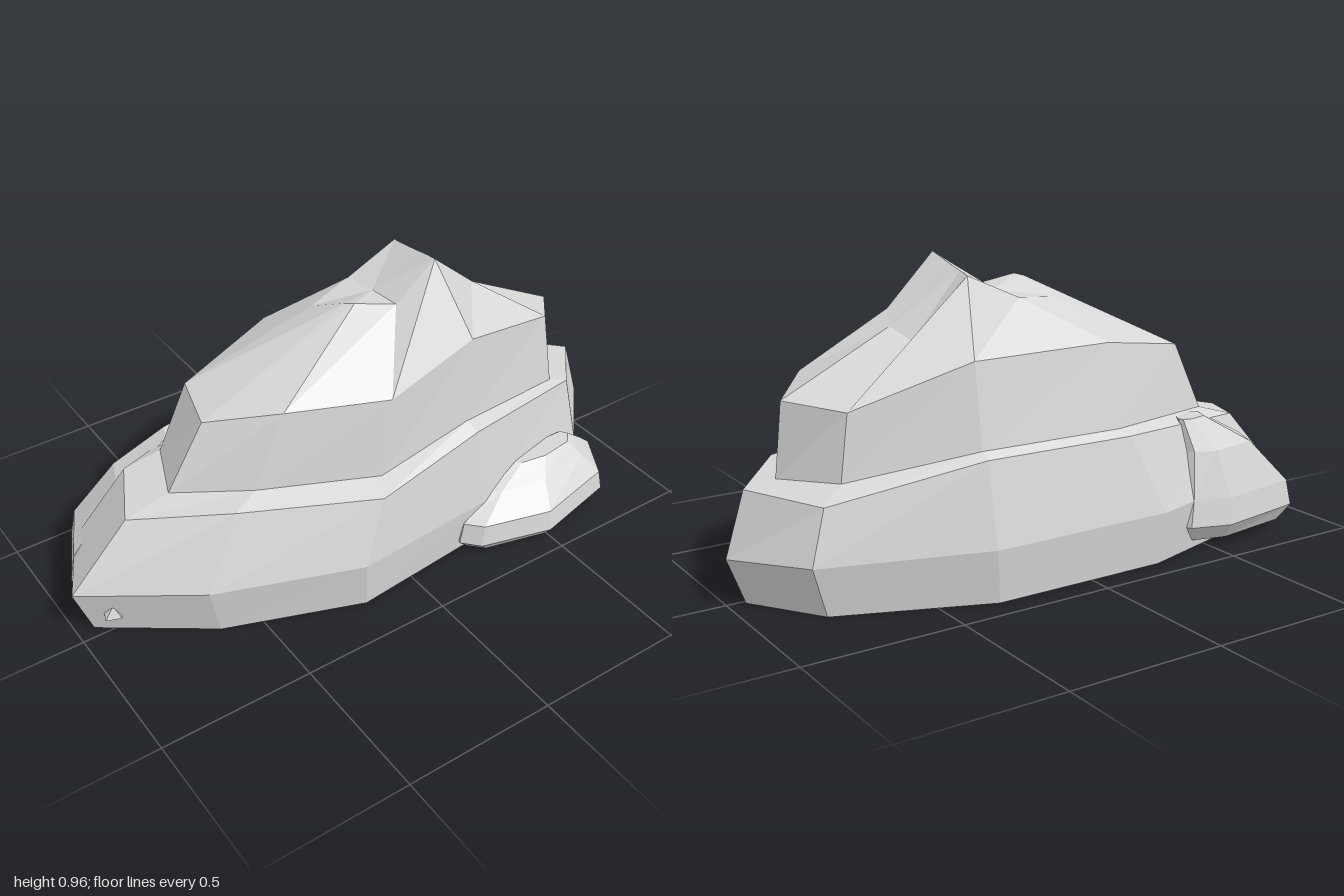
import * as THREE from 'three';

// Skins a stack of rings (each a list of [x, y, z]) and closes both ends with a fan.
function loft(rings, topPoint) {
  const n = rings[0].length;
  const pos = [];
  const tri = (a, b, c) => {
    if (a !== b && b !== c && c !== a) pos.push(...a, ...b, ...c);
  };
  for (let i = 0; i < rings.length - 1; i++) {
    const lo = rings[i], hi = rings[i + 1];
    for (let j = 0; j < n; j++) {
      const k = (j + 1) % n;
      tri(lo[j], hi[j], lo[k]);
      tri(lo[k], hi[j], hi[k]);
    }
  }
  const middle = (ring) => [0, 1, 2].map((a) => ring.reduce((s, p) => s + p[a], 0) / n);
  const first = rings[0], last = rings[rings.length - 1];
  const bottom = middle(first), top = topPoint || middle(last);
  for (let j = 0; j < n; j++) {
    const k = (j + 1) % n;
    tri(bottom, first[j], first[k]);
    tri(top, last[k], last[j]);
  }
  const g = new THREE.BufferGeometry();
  g.setAttribute('position', new THREE.Float32BufferAttribute(pos, 3));
  g.computeVertexNormals();
  return g;
}

// Makes rings from one [x, z] outline; each level is [y, scaleX, scaleZ, centreX, centreZ].
function levels(outline, cx, cz, list) {
  return list.map(([y, sx, sz, tx = cx, tz = cz]) =>
    outline.map(([x, z]) => [tx + (x - cx) * sx, y, tz + (z - cz) * sz]));
}

export function createModel() {
  const group = new THREE.Group();
  const stone = new THREE.MeshStandardMaterial({ color: 0xd6d6d6, flatShading: true });
  stone.name = 'grey stone';
  const add = (name, geometry) => {
    const mesh = new THREE.Mesh(geometry, stone);
    mesh.name = name;
    group.add(mesh);
    return mesh;
  };

  // Rings run from the left end round the front, the right end and the back.
  const waist = [
    [1, 0.145, -0.015], [0.8, 0.135, 0.21], [0.3, 0.16, 0.32], [-0.2, 0.17, 0.368], [-0.66, 0.17, 0.2],
    [-1, 0.16, -0.04], [-0.88, 0.17, -0.27], [-0.27, 0.17, -0.44], [0.35, 0.17, -0.44], [0.84, 0.155, -0.25],
  ];
  const foot = waist.map(([x, , z]) => [x * 0.945, 0, z * 0.955]);
  const shoulder = [
    [0.94, 0.345, -0.02], [0.77, 0.375, 0.17], [0.29, 0.425, 0.28], [-0.11, 0.375, 0.33], [-0.53, 0.4, 0.16],
    [-0.8, 0.365, -0.04], [-0.7, 0.385, -0.24], [-0.16, 0.42, -0.39], [0.35, 0.425, -0.39], [0.79, 0.32, -0.23],
  ];
  const ledge = [
    [0.84, 0.36, -0.02], [0.71, 0.39, 0.15], [0.28, 0.447, 0.235], [-0.07, 0.4, 0.26], [-0.44, 0.42, 0.12],
    [-0.65, 0.4, -0.04], [-0.58, 0.42, -0.22], [-0.14, 0.44, -0.36], [0.35, 0.445, -0.36], [0.72, 0.37, -0.2],
  ];
  const brow = [
    [0.82, 0.59, -0.03], [0.69, 0.635, 0.12], [0.31, 0.73, 0.205], [-0.02, 0.655, 0.24], [-0.33, 0.66, 0.12],
    [-0.52, 0.61, -0.04], [-0.48, 0.64, -0.21], [-0.13, 0.7, -0.31], [0.35, 0.7, -0.32], [0.69, 0.57, -0.19],
  ];
  const crest = [
    [0.47, 0.77, -0.04], [0.44, 0.81, 0.03], [0.26, 0.965, 0.065], [0.12, 0.85, 0.06], [-0.01, 0.88, 0.025],
    [-0.03, 0.875, 0], [-0.07, 0.82, -0.12], [0.1, 0.84, -0.17], [0.28, 0.92, -0.17], [0.44, 0.735, -0.12],
  ];
  // The left side of the crest climbs from its notch to the ridge between the two peaks.
  const ridge = [
    [0.27, 0.942, -0.05], [0.265, 0.957, 0.02], ...crest.slice(2, 9), [0.275, 0.929, -0.12],
  ];

  // Broad lower rock and the peaked rock rising from its ledge
  add('lowerRock', loft([foot, waist, shoulder, ledge]));
  add('upperRock', loft([ledge, brow, crest, ridge], [0.11, 0.85, -0.05]));

  // Low boulder at the front left
  const frontOutline = [
    [0.87, 0.22], [0.78, 0.38], [0.49, 0.45], [0.25, 0.385], [0.2, 0.33], [0.3, 0.15], [0.6, 0.11], [0.83, 0.115],
  ];
  add('frontBoulder', loft(levels(frontOutline, 0.55, 0.28, [
    [0, 0.88, 0.82], [0.04, 1, 1], [0.11, 0.95, 0.93], [0.175, 0.66, 0.5, 0.57, 0.275], [0.22, 0.38, 0.22, 0.6, 0.265],
  ])));

  // Boulder leaning against the back right, undercut below
  const backOutline = [
    [-0.37, -0.35], [-0.45, -0.2], [-0.8, -0.14], [-0.945, -0.18], [-0.84, -0.4], [-0.53, -0.452], [-0.4, -0.41],
  ];
  add('backBoulder', loft(levels(backOutline, -0.62, -0.3, [
    [0.03, 0.84, 0.72], [0.085, 1, 1], [0.17, 0.93, 0.91], [0.32, 0.55, 0.62, -0.56, -0.3], [0.42, 0.2, 0.25, -0.47, -0.295],
  ])));

  // Small pebble stuck to the right end
  const pebble = add('pebble', new THREE.OctahedronGeometry(0.036));
  pebble.position.set(-0.897, 0.073, 0.006);
  pebble.rotation.set(0.3, 0.5, 0);

  return group;
}
